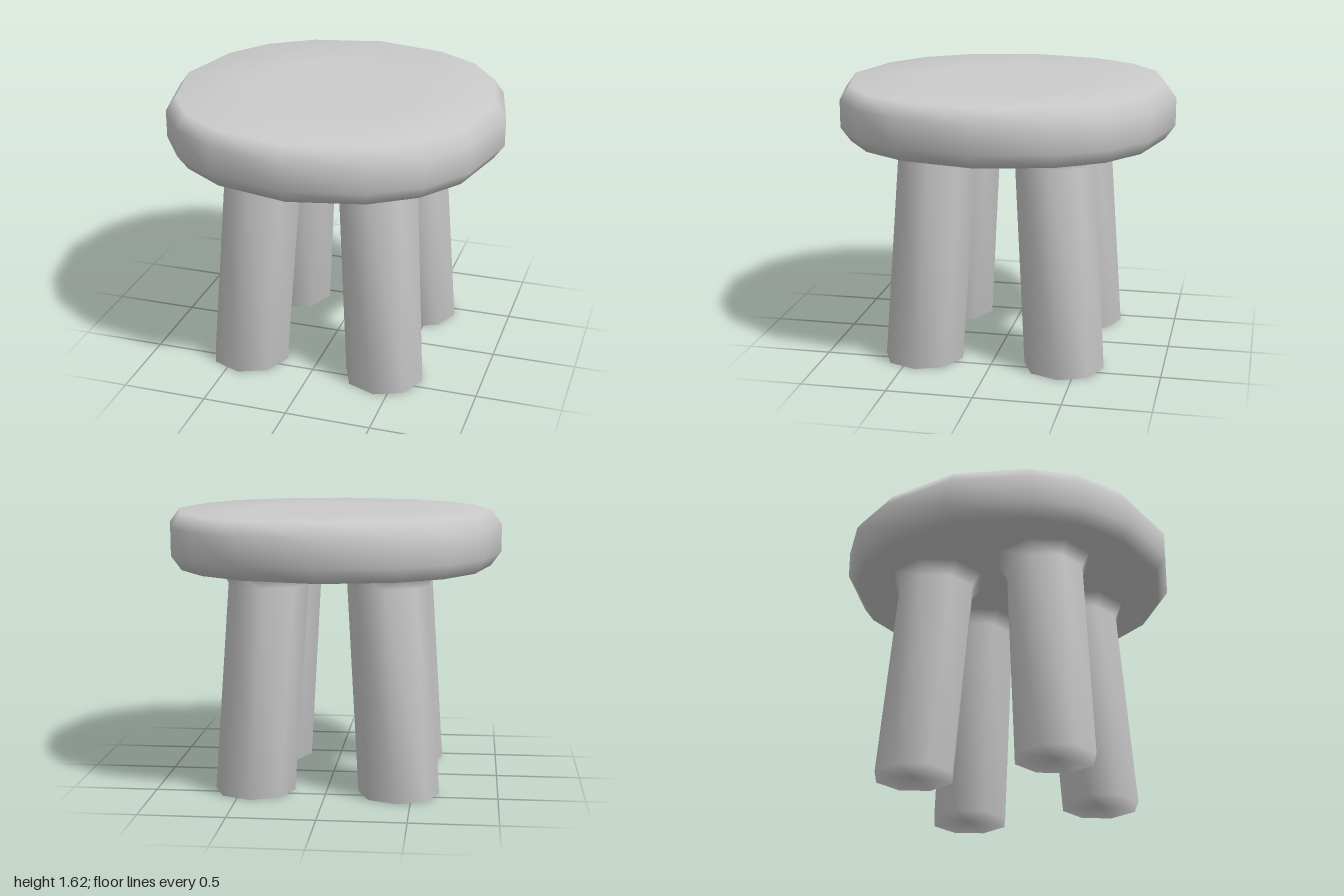
import * as THREE from 'three';

const material = new THREE.MeshStandardMaterial({ color: 0xcccccc });

// Smooth skin over stacked rings [y, radius, centreX, centreZ], from bottom to top.
function loft(outline, rings) {
  const n = outline.length;
  const positions = [];
  const index = [];
  rings.forEach(([y, r, cx = 0, cz = 0], i) => {
    outline.forEach(([x, z], j) => {
      positions.push(cx + r * x, y, cz + r * z);
      if (i === rings.length - 1) return;
      const k = (j + 1) % n;
      const a = i * n + j, b = a + n, c = (i + 1) * n + k, d = i * n + k;
      index.push(a, b, c, a, c, d);
    });
  });
  const geometry = new THREE.BufferGeometry();
  geometry.setAttribute('position', new THREE.Float32BufferAttribute(positions, 3));
  geometry.setIndex(index);
  geometry.computeVertexNormals();
  return geometry;
}

// Closed outline made by repeating one quarter's [angle in degrees, radius] points.
function quarterOutline(quarter) {
  const points = [];
  for (let q = 0; q < 4; q++) {
    for (const [deg, r] of quarter) {
      const a = THREE.MathUtils.degToRad(deg + 90 * q);
      points.push([r * Math.cos(a), r * Math.sin(a)]);
    }
  }
  return points;
}

export function createModel() {
  const model = new THREE.Group();
  model.name = 'stool';

  // Round seat with bevelled rims
  const seatOutline = quarterOutline([[0, 1], [26.57, 1.003], [45, 1.012], [63.43, 1.003]]);
  const seat = new THREE.Mesh(loft(seatOutline, [
    [1.295, 0], [1.295, 0.5], [1.295, 0.94], [1.378, 1],
    [1.54, 1], [1.622, 0.94], [1.622, 0.5], [1.622, 0],
  ]), material);
  seat.name = 'seat';
  model.add(seat);

  // Four splayed eight-sided legs, flaring into the seat
  const legOutline = quarterOutline([[0, 1], [45, 1]]);
  for (const [sz, depth] of [[1, 'front'], [-1, 'back']]) {
    for (const [sx, side] of [[1, 'Left'], [-1, 'Right']]) {
      const ring = (y, r, c) => [y, r, sx * c, sz * c];
      const leg = new THREE.Mesh(loft(legOutline, [
        ring(0, 0, 0.423), ring(0, 0.236, 0.423),
        ring(1.215, 0.235, 0.347), ring(1.295, 0.281, 0.342), ring(1.305, 0.36, 0.342),
      ]), material);
      leg.name = `${depth}${side}Leg`;
      model.add(leg);
    }
  }
  return model;
}
